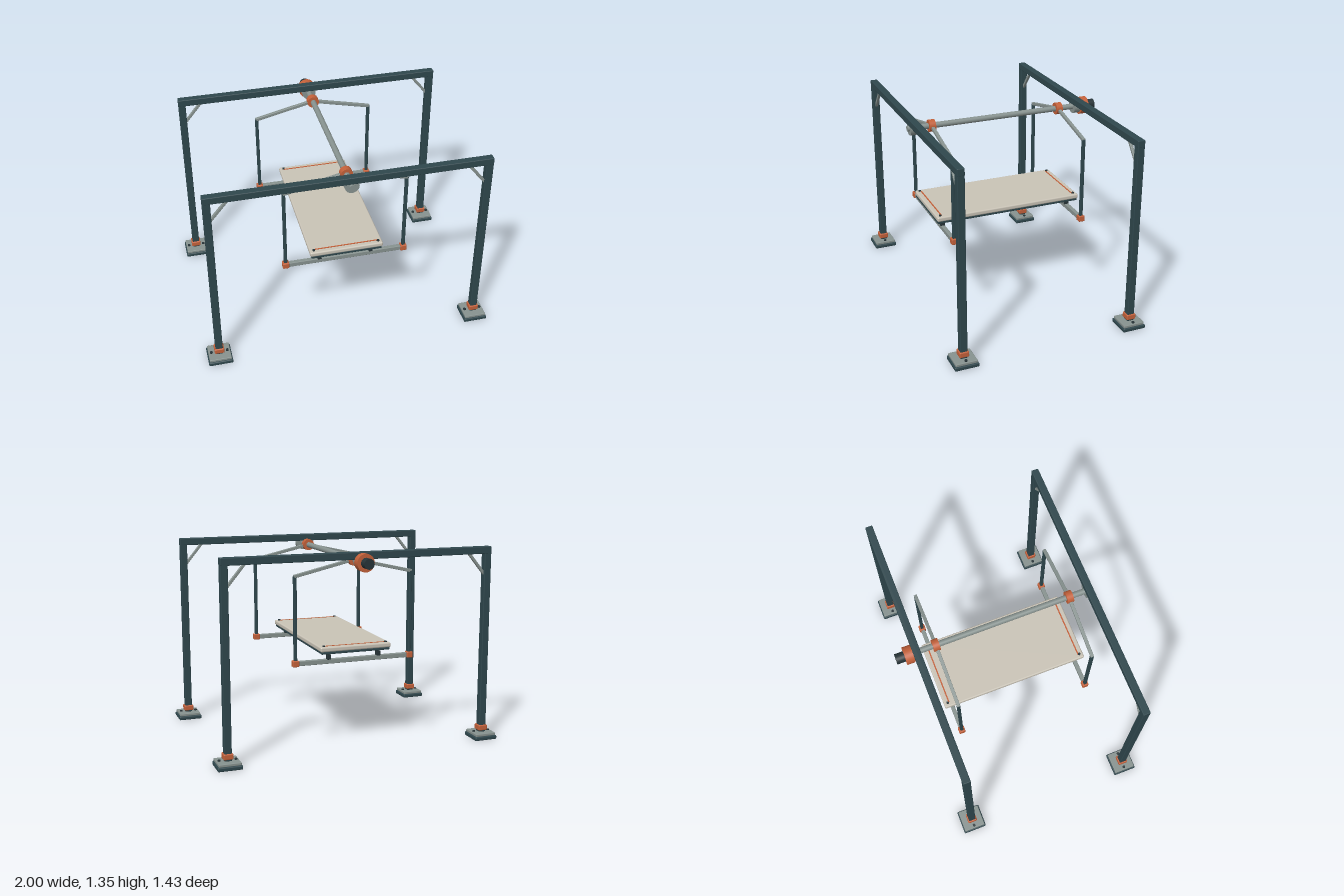
import * as THREE from 'three';
import { RoundedBoxGeometry } from 'three/addons/geometries/RoundedBoxGeometry.js';

const paint = (name, color) => {
  const m = new THREE.MeshStandardMaterial({ color });
  m.name = name;
  return m;
};

export function createModel() {
  const model = new THREE.Group();
  model.name = 'swingPlatform';
  const frameSteel = paint('darkTealSteel', 0x2f474d);
  const grey = paint('greyMetal', 0x87928f);
  const orange = paint('orangePaint', 0xc4613a);
  const cream = paint('creamBoard', 0xc9c3b6);
  const rubber = paint('blackRubber', 0x273438);

  const add = (parent, name, geo, mat, x, y, z) => {
    const mesh = new THREE.Mesh(geo, mat);
    mesh.name = name;
    mesh.position.set(x, y, z);
    parent.add(mesh);
    return mesh;
  };
  // Box with softened edges
  const box = (parent, name, mat, w, h, d, x, y, z, r = 0.005) =>
    add(parent, name, new RoundedBoxGeometry(w, h, d, 2, r), mat, x, y, z);
  // Round part lying along z
  const drum = (parent, name, mat, r, length, y, z) =>
    add(parent, name, new THREE.CylinderGeometry(r, r, length, 32).rotateX(Math.PI / 2), mat, 0, y, z);
  const bolt = (parent, name, r, h, x, y, z) =>
    add(parent, name, new THREE.CylinderGeometry(r, r, h, 12), rubber, x, y, z);
  // Square bar between two points in a plane of constant z
  const bar = (parent, name, mat, x1, y1, x2, y2, z, t) => {
    const mesh = box(parent, name, mat, Math.hypot(x2 - x1, y2 - y1), t, t,
      (x1 + x2) / 2, (y1 + y2) / 2, z, 0.003);
    mesh.rotation.z = Math.atan2(y2 - y1, x2 - x1);
  };

  const midZ = 0.0285, axleY = 1.284, legX = 0.915;

  // Two portal frames with feet, corner braces and axle bearings
  for (const side of [1, -1]) {
    const z = midZ + side * 0.602;
    const frame = new THREE.Group();
    frame.name = side > 0 ? 'frontFrame' : 'backFrame';
    model.add(frame);
    box(frame, 'topBeam', frameSteel, 1.88, 0.049, 0.05, 0, 1.325, z);
    drum(frame, 'axleBearing', grey, 0.048, 0.044, axleY, z);
    for (const s of [1, -1]) {
      const x = s * legX;
      box(frame, 'leg', frameSteel, 0.049, 1.27, 0.049, x, 0.68, z);
      box(frame, 'footPad', frameSteel, 0.165, 0.027, 0.165, x, 0.0135, z, 0.007);
      box(frame, 'footPlate', grey, 0.15, 0.019, 0.15, x, 0.0365, z, 0.004);
      box(frame, 'legCollar', orange, 0.066, 0.039, 0.066, x, 0.076, z, 0.007);
      for (const b of [-0.055, 0.055]) bolt(frame, 'footBolt', 0.01, 0.01, x + b, 0.049, z);
      bar(frame, 'cornerBrace', grey, s * 0.9, 1.16, s * 0.778, 1.308, z, 0.019);
    }
  }

  // Axle and drive motor at the back
  drum(model, 'axle', grey, 0.0195, 1.27, axleY, 0.031);
  drum(model, 'motorHousing', orange, 0.06, 0.056, axleY, -0.627);
  drum(model, 'motorCap', rubber, 0.035, 0.06, axleY, -0.684);

  // Two hanging cradles that carry the deck
  for (const side of [1, -1]) {
    const z = midZ + side * 0.468;
    const cradle = new THREE.Group();
    cradle.name = side > 0 ? 'frontCradle' : 'backCradle';
    model.add(cradle);
    drum(cradle, 'hub', orange, 0.041, 0.044, axleY, z);
    box(cradle, 'crossbar', grey, 0.82, 0.032, 0.028, 0, 0.609, z, 0.004);
    for (const s of [1, -1]) {
      bar(cradle, 'arm', grey, 0, axleY, s * 0.418, 1.188, z, 0.022);
      box(cradle, 'hanger', frameSteel, 0.022, 0.575, 0.022, s * 0.41, 0.905, z, 0.004);
      box(cradle, 'endBlock', orange, 0.044, 0.042, 0.044, s * 0.41, 0.61, z, 0.006);
      box(cradle, 'deckMount', rubber, 0.028, 0.035, 0.031, s * 0.178, 0.638, z, 0.003);
    }
  }

  // Deck with backing board, orange end lines and corner bolts
  const deck = new THREE.Group();
  deck.name = 'deck';
  model.add(deck);
  box(deck, 'deckBoard', cream, 0.502, 0.033, 1.05, 0, 0.6995, midZ, 0.01);
  box(deck, 'deckBacking', frameSteel, 0.486, 0.018, 1.042, 0, 0.676, midZ, 0.004);
  for (const side of [1, -1]) {
    add(deck, 'endLine', new THREE.BoxGeometry(0.44, 0.004, 0.009), orange, 0, 0.7165, midZ + side * 0.488);
    for (const s of [1, -1]) bolt(deck, 'deckBolt', 0.009, 0.012, s * 0.222, 0.717, midZ + side * 0.497);
  }
  return model;
}
